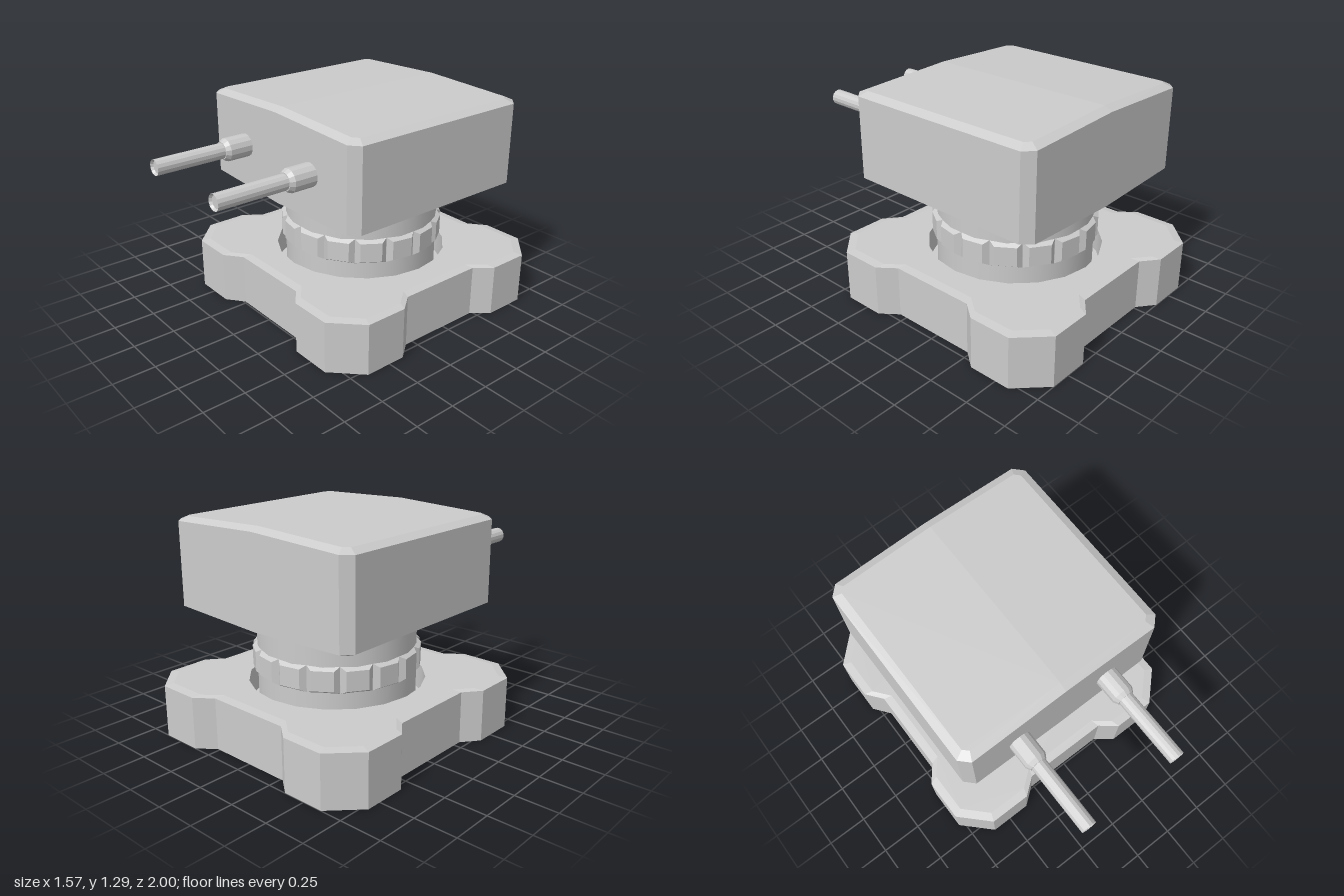
import * as THREE from 'three';

const material = new THREE.MeshStandardMaterial({ color: 0xcccccc });
const openMaterial = new THREE.MeshStandardMaterial({ color: 0xcccccc, side: THREE.DoubleSide });

function add(parent, name, geometry, mat = material) {
  const mesh = new THREE.Mesh(geometry, mat);
  mesh.name = name;
  parent.add(mesh);
  return mesh;
}

// Flat-faced skin through closed rings listed from bottom to top, optionally capped
function loft(rings, capped) {
  const pos = [];
  const tri = (...pts) => pts.forEach((p) => pos.push(...p));
  const n = rings[0].length;
  for (let r = 0; r < rings.length - 1; r++) {
    for (let i = 0; i < n; i++) {
      const j = (i + 1) % n;
      const [a, b, c, d] = [rings[r][i], rings[r][j], rings[r + 1][j], rings[r + 1][i]];
      tri(a, b, c);
      tri(a, c, d);
    }
  }
  if (capped) {
    const low = rings[0], top = rings[rings.length - 1];
    for (let i = 1; i < n - 1; i++) {
      tri(top[0], top[i], top[i + 1]);
      tri(low[0], low[i + 1], low[i]);
    }
  }
  const g = new THREE.BufferGeometry();
  g.setAttribute('position', new THREE.Float32BufferAttribute(pos, 3));
  g.computeVertexNormals();
  return g;
}

// Repeats one corner of the base plan four times around the axis
function fourfold(corner) {
  const out = [];
  let pts = corner;
  for (let k = 0; k < 4; k++) {
    out.push(...pts);
    pts = pts.map(([x, z]) => [z, -x]);
  }
  return out;
}

function buildBase() {
  const base = new THREE.Group();
  base.name = 'base';
  const outer = fourfold([[0.265, 0.705], [0.367, 0.785], [0.62, 0.785], [0.785, 0.62], [0.785, 0.367], [0.705, 0.265]]);
  const inner = fourfold([[0.25, 0.655], [0.35, 0.735], [0.6, 0.735], [0.735, 0.6], [0.735, 0.35], [0.655, 0.25]]);
  const at = (pts, y) => pts.map(([x, z]) => [x, y, z]);
  // Thin walls, open underneath
  add(base, 'baseWalls', loft([at(outer, 0), at(outer, 0.31), at(inner, 0.318)]), openMaterial);

  // Top plate with round opening
  const shape = new THREE.Shape(inner.map(([x, z]) => new THREE.Vector2(x, -z)));
  shape.holes.push(new THREE.Path().absarc(0, 0, 0.52, 0, Math.PI * 2, true));
  const plate = new THREE.ShapeGeometry(shape, 10).rotateX(-Math.PI / 2);
  add(base, 'baseTop', plate, openMaterial).position.y = 0.318;

  // Round well that receives the column
  const well = new THREE.CylinderGeometry(0.52, 0.52, 0.158, 20, 1, true).rotateY(Math.PI / 2);
  add(base, 'wellWall', well, openMaterial).position.y = 0.239;
  const floor = new THREE.CircleGeometry(0.52, 20).rotateX(-Math.PI / 2);
  add(base, 'wellFloor', floor, openMaterial).position.y = 0.16;
  return base;
}

// Ring of sixteen chamfered grip blocks
function buildGripRing() {
  const ring = new THREE.Group();
  ring.name = 'gripRing';
  const rect = (w, h, z) => [[-w, -h, z], [w, -h, z], [w, h, z], [-w, h, z]];
  // Loft rises along y, so turn each block to point outward
  const toY = (pts) => pts.map(([x, h, z]) => [x, z, -h]);
  const block = loft([toY(rect(0.091, 0.078, 0.455)), toY(rect(0.063, 0.058, 0.487))], true);
  block.rotateX(Math.PI / 2);
  for (let i = 0; i < 16; i++) {
    const m = add(ring, 'gripBlock', block);
    m.rotation.y = (i + 0.5) * Math.PI / 8;
    m.position.y = 0.463;
  }
  return ring;
}

// Crowned box with chamfered edges
function buildHead() {
  const X = 0.658, Z = 0.625;
  const ring = (inset, y, crown) => {
    const x = X - inset, z = Z - inset, c = 0.055 - inset * 0.5;
    const plan = [[0, z], [x - c, z], [x, z - c], [x, c - z], [x - c, -z],
      [0, -z], [c - x, -z], [-x, c - z], [-x, z - c], [c - x, z]];
    return plan.map(([px, pz]) => [px, y + crown * (1 - Math.abs(px) / X), pz]);
  };
  return loft([ring(0.05, 0.738, -0.025), ring(0, 0.76, -0.025), ring(0, 1.245, 0.025), ring(0.05, 1.268, 0.025)], true);
}

// Cable with sleeve, running forward from the head
function buildCable() {
  const cable = new THREE.Group();
  cable.name = 'cable';
  const lathe = (pts) => {
    const parts = pts.map(([r, z]) => new THREE.Vector2(r, z));
    const g = new THREE.LatheGeometry(parts, 14).toNonIndexed().rotateX(Math.PI / 2);
    g.computeVertexNormals();
    return g;
  };
  add(cable, 'sleeve', lathe([[0.068, 0.6], [0.068, 0.765], [0.052, 0.792], [0.04, 0.792]]), openMaterial);
  add(cable, 'wire', lathe([[0.046, 0.7], [0.046, 1.215], [0.037, 1.2], [0, 1.2]]), openMaterial);
  return cable;
}

export function createModel() {
  const model = new THREE.Group();
  model.name = 'swivelUnit';
  const body = new THREE.Group();
  body.name = 'body';
  body.position.z = -0.215;
  model.add(body);

  body.add(buildBase());
  add(body, 'column', new THREE.CylinderGeometry(0.465, 0.465, 0.6, 32)).position.y = 0.465;
  body.add(buildGripRing());
  add(body, 'head', buildHead());
  for (const side of [-1, 1]) {
    const cable = buildCable();
    cable.position.set(side * 0.302, 1.003, 0);
    body.add(cable);
  }
  return model;
}
